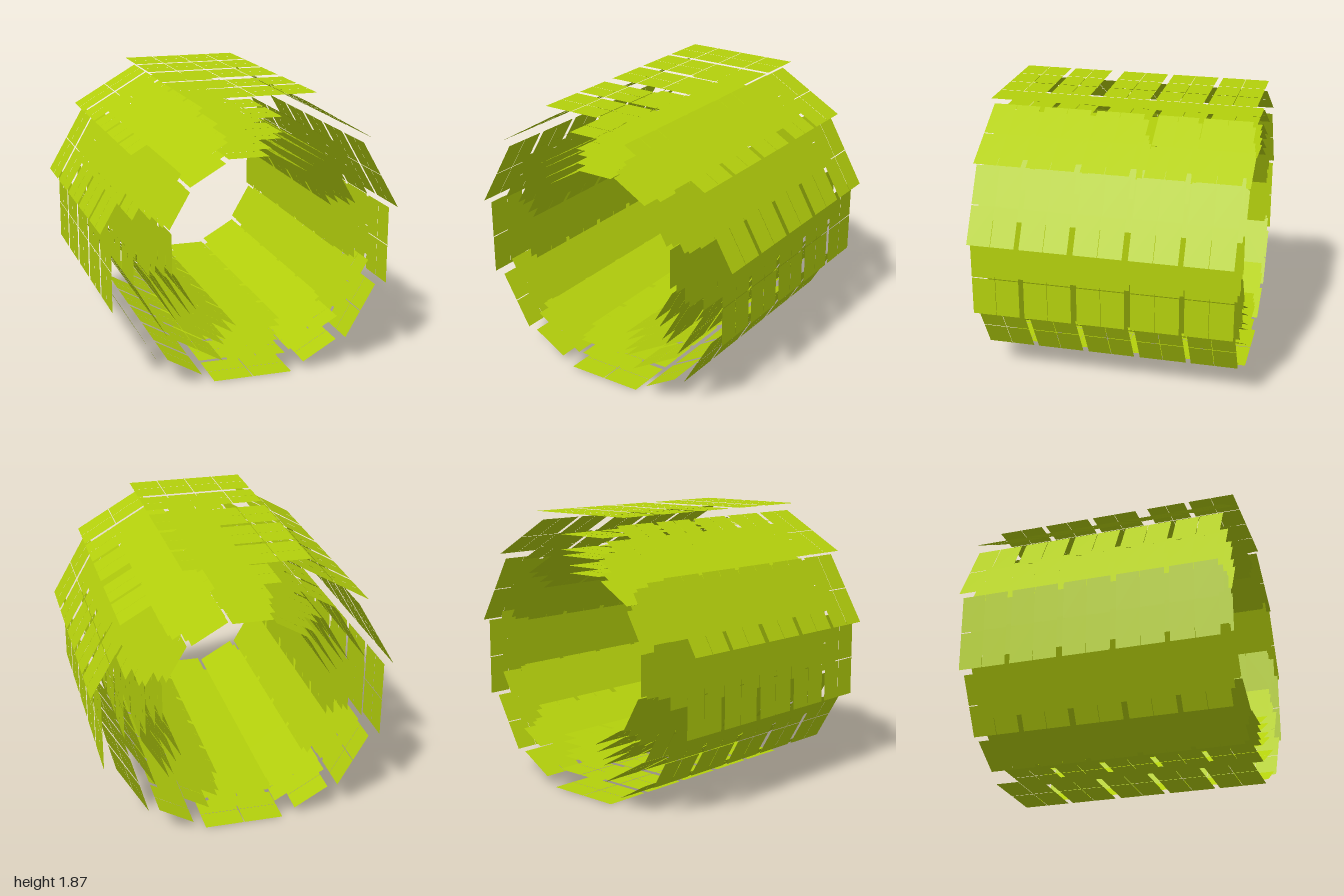
import * as THREE from 'three';

const AXIS_Y = 0.935;
const GAP = 0.006;

// Inner layers: radius, full width, sideways shift, panels across, panels along z
const LAYERS = [
  { name: 'innerLayer1', r: 0.548, w: 0.27, shift: 0.041, across: 1, along: 2 },
  { name: 'innerLayer2', r: 0.597, w: 0.29, shift: 0.035, across: 1, along: 2 },
  { name: 'middleLayer1', r: 0.658, w: 0.33, shift: -0.006, across: 1, along: 3 },
  { name: 'middleLayer2', r: 0.695, w: 0.35, shift: -0.006, across: 1, along: 2 },
  { name: 'thirdLayer', r: 0.796, w: 0.40, shift: 0.022, across: 2, along: 2 },
];

// Outer layer differs per 30 degree sector: [width, shift, panels across]
const OUTER_R = 0.935;
const OUTER = [
  [0.53, -0.121, 2], [0.53, -0.119, 2], [0.53, -0.119, 2], [0.82, 0, 4],
  [0.53, 0.119, 2], [0.53, 0.119, 2], [0.53, 0.121, 2], [0.415, 0.11, 2],
  [0.265, 0, 1], [0.54, 0, 2], [0.265, 0, 1], [0.415, -0.11, 2],
];

// z range of each of the five rings
const RINGS = [
  [-0.867, -0.547], [-0.517, -0.197], [-0.16, 0.16], [0.195, 0.515], [0.545, 0.865],
];

export function createModel() {
  const model = new THREE.Group();
  model.name = 'layeredBarrel';
  const material = new THREE.MeshStandardMaterial({ color: 0xb4d00c, side: THREE.DoubleSide });

  // Flat panels at distance r, split across the sector and along the barrel
  function addPanels(sector, name, r, w, shift, across, along, z0, z1) {
    const group = new THREE.Group();
    group.name = name;
    const pw = w / across, pl = (z1 - z0) / along;
    const geometry = new THREE.PlaneGeometry(
      pl - (along > 1 ? GAP / 2 : 0), pw - (across > 1 ? GAP : 0));
    geometry.rotateY(Math.PI / 2);
    for (let i = 0; i < across; i++) {
      for (let j = 0; j < along; j++) {
        const panel = new THREE.Mesh(geometry, material);
        panel.name = 'panel';
        panel.position.set(r, shift - w / 2 + (i + 0.5) * pw, z0 + (j + 0.5) * pl);
        group.add(panel);
      }
    }
    sector.add(group);
  }

  RINGS.forEach(([start, end], ringIndex) => {
    const ring = new THREE.Group();
    ring.name = 'ring' + (ringIndex + 1);
    ring.position.y = AXIS_Y;
    for (let k = 0; k < 12; k++) {
      const sector = new THREE.Group();
      sector.name = 'sector' + (k + 1);
      sector.rotation.z = k * Math.PI / 6;
      // Two sectors are shortened to leave a slot through all layers
      const z0 = ringIndex === 3 && k === 3 ? 0.245 : start;
      const z1 = ringIndex === 1 && k === 2 ? -0.25 : end;
      for (const l of LAYERS) {
        addPanels(sector, l.name, l.r, l.w, l.shift, l.across, l.along, z0, z1);
      }
      const [w, shift, across] = OUTER[k];
      addPanels(sector, 'outerLayer', OUTER_R, w, shift, across, 2, z0, z1);
      ring.add(sector);
    }
    model.add(ring);
  });
  return model;
}
